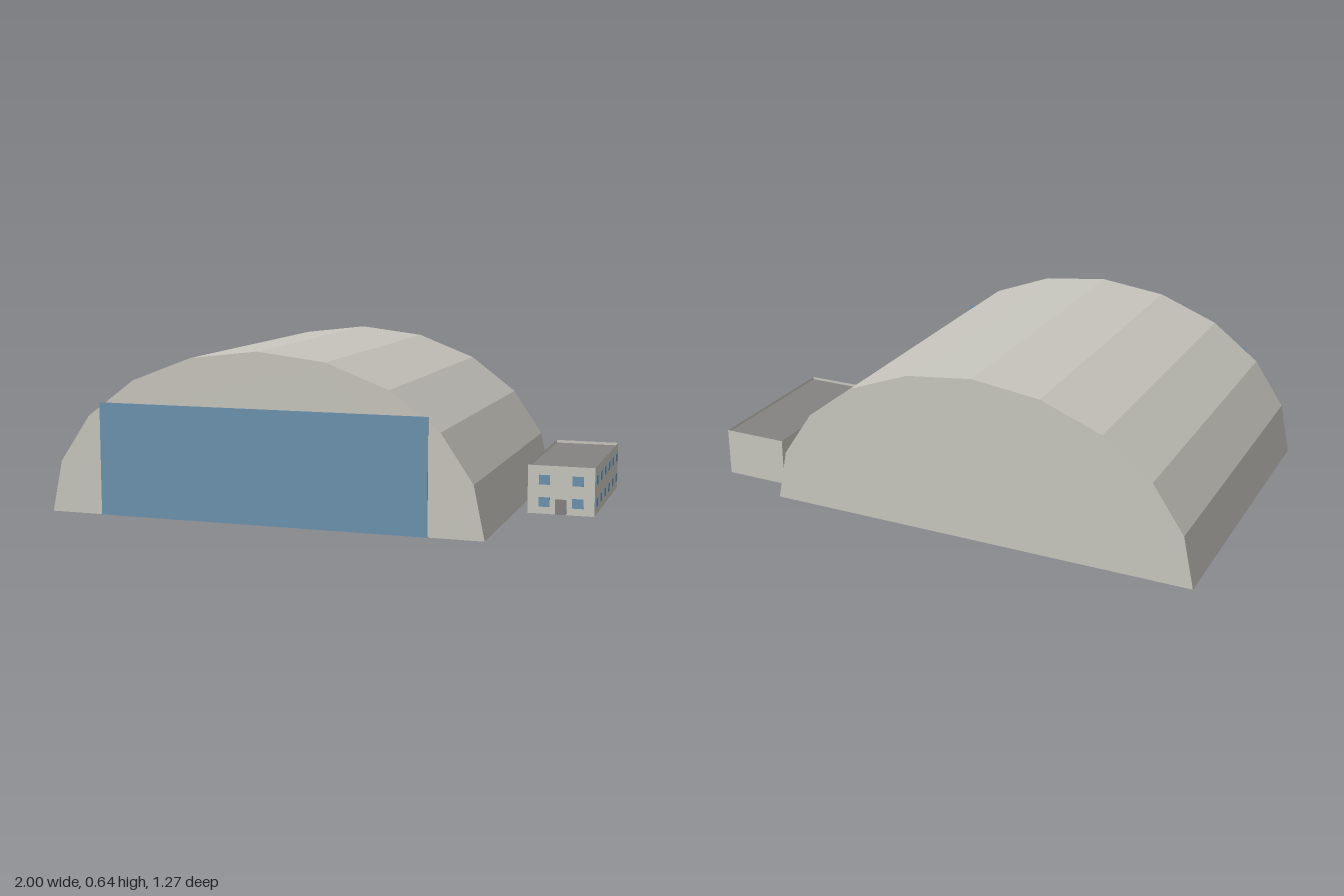
import * as THREE from 'three';

const material = (name, color) => {
  const m = new THREE.MeshStandardMaterial({ color, side: THREE.DoubleSide, flatShading: true });
  m.name = name;
  return m;
};

export function createModel() {
  const concrete = material('pale concrete', 0xc8c6be);
  const blue = material('steel blue', 0x6c93b1);
  const dark = material('dark grey', 0x858382);

  const model = new THREE.Group();
  model.name = 'hangarWithOffice';
  const hangar = new THREE.Group();
  hangar.name = 'hangar';
  const office = new THREE.Group();
  office.name = 'office';
  model.add(hangar, office);

  const add = (parent, name, geometry, mat, x, y, z) => {
    const mesh = new THREE.Mesh(geometry, mat);
    mesh.name = name;
    mesh.position.set(x, y, z);
    parent.add(mesh);
    return mesh;
  };

  // Hangar: faceted half-ellipse vault, open underneath
  const rx = 0.848, ry = 0.64, halfZ = 0.635, cx = -0.152, sides = 10;
  const vault = new THREE.CylinderGeometry(1, 1, 1, sides, 1, true, -Math.PI / 2, Math.PI);
  vault.rotateX(-Math.PI / 2).scale(rx, ry, halfZ * 2);
  add(hangar, 'vaultRoof', vault, concrete, cx, 0, 0);

  // End walls follow the same facets
  const arch = [];
  for (let i = 0; i <= sides; i++) {
    const a = (i / sides) * Math.PI;
    arch.push(new THREE.Vector2(Math.cos(a) * rx, Math.sin(a) * ry));
  }
  const gable = new THREE.ShapeGeometry(new THREE.Shape(arch));
  add(hangar, 'frontWall', gable, concrete, cx, 0, halfZ);
  add(hangar, 'backWall', gable, concrete, cx, 0, -halfZ).rotation.y = Math.PI;

  // Wide hangar door
  add(hangar, 'hangarDoor', new THREE.BoxGeometry(1.28, 0.43, 0.003), blue, -0.15, 0.215, halfZ + 0.002);

  // Office: four walls, open underneath, with a roof sunk behind a low parapet
  const x0 = 0.742, x1 = 0.998, z0 = -0.532, z1 = 0.105, h = 0.187;
  const w = x1 - x0, d = z1 - z0, mx = (x0 + x1) / 2, mz = (z0 + z1) / 2;
  const endWall = new THREE.PlaneGeometry(w, h);
  const sideWall = new THREE.PlaneGeometry(d, h);
  add(office, 'officeFrontWall', endWall, concrete, mx, h / 2, z1);
  add(office, 'officeBackWall', endWall, concrete, mx, h / 2, z0).rotation.y = Math.PI;
  add(office, 'officeLeftWall', sideWall, concrete, x1, h / 2, mz).rotation.y = Math.PI / 2;
  add(office, 'officeRightWall', sideWall, concrete, x0, h / 2, mz).rotation.y = -Math.PI / 2;
  add(office, 'officeRoof', new THREE.PlaneGeometry(w, d), dark, mx, 0.176, mz).rotation.x = -Math.PI / 2;

  // Windows in two storeys on the long outer side and the front
  const sideWindow = new THREE.BoxGeometry(0.002, 0.035, 0.044);
  const frontWindow = new THREE.BoxGeometry(0.043, 0.037, 0.002);
  for (const y of [0.048, 0.134]) {
    for (let i = 0; i < 6; i++) {
      add(office, 'sideWindow', sideWindow, blue, x1 + 0.001, y, 0.053 - i * 0.1065);
    }
    for (const s of [-1, 1]) add(office, 'frontWindow', frontWindow, blue, mx + s * 0.064, y - 0.002, z1 + 0.001);
  }
  add(office, 'officeDoor', new THREE.BoxGeometry(0.043, 0.059, 0.002), dark, mx, 0.0295, z1 + 0.001);

  return model;
}
